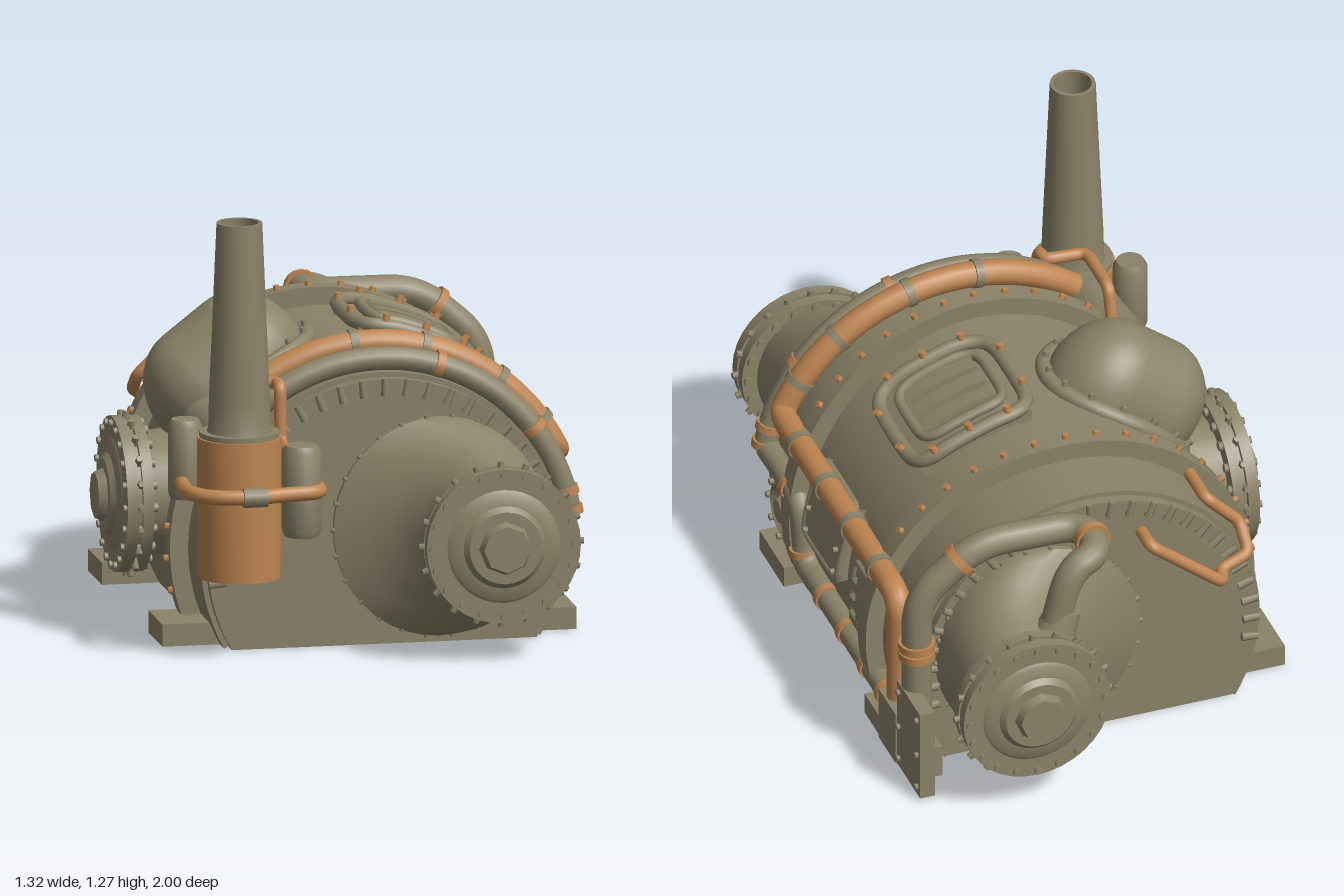
import * as THREE from 'three';
import { mergeGeometries, toCreasedNormals } from 'three/addons/utils/BufferGeometryUtils.js';

const CX = 0.06, CY = 0.26, R = 0.53; // barrel axis and radius
const V = (x, y, z) => new THREE.Vector3(x, y, z);
const on = (a, z, r) => V(CX + r * Math.sin(a), CY + r * Math.cos(a), z); // point around the barrel
const range = (n, f) => Array.from({ length: n }, (_, i) => f(i));

export function createModel() {
  const root = new THREE.Group();
  const olive = new THREE.MeshStandardMaterial({ color: 0x8a8268, side: THREE.DoubleSide });
  olive.name = 'olive metal';
  const copper = new THREE.MeshStandardMaterial({ color: 0xbd8450, side: THREE.DoubleSide });
  copper.name = 'copper';

  const add = (name, geo, mat = olive, parent = root) => {
    const m = new THREE.Mesh(geo, mat);
    m.name = name;
    parent.add(m);
    return m;
  };
  const box = (name, x0, x1, y0, y1, z0, z1) =>
    add(name, new THREE.BoxGeometry(x1 - x0, y1 - y0, z1 - z0).translate((x0 + x1) / 2, (y0 + y1) / 2, (z0 + z1) / 2));
  const lathe = (pts, seg = 36) =>
    toCreasedNormals(new THREE.LatheGeometry(pts.map(p => new THREE.Vector2(p[0], p[1])), seg), 0.6);
  // curved slab wrapped on the barrel; reaches the ground when no angles are given
  const band = (name, r0, r1, z0, z1, a0 = -Math.acos(-CY / r1), a1 = Math.acos(-CY / r1)) => {
    const pts = [[r0, z1], [r1, z1], [r1, z0], [r0, z0]].map(p => new THREE.Vector2(p[0], -p[1]));
    const g = new THREE.LatheGeometry(pts, Math.max(6, Math.ceil((a1 - a0) * 14)), a0, a1 - a0);
    return add(name, toCreasedNormals(g.rotateX(-Math.PI / 2), 0.6).translate(CX, CY, 0));
  };
  // small cylinders at [position, direction]
  const studs = (name, list, r, h, mat = olive, parent = root, sides = 6, taper = 0.8) =>
    add(name, mergeGeometries(list.map(([p, d]) => {
      const q = new THREE.Quaternion().setFromUnitVectors(V(0, 1, 0), d.clone().normalize());
      return new THREE.CylinderGeometry(r * taper, r, h, sides).applyQuaternion(q).translate(p.x, p.y, p.z);
    })), mat, parent);
  const clamps = (name, list, r, mat) => studs(name, list, r, 0.024, mat, root, 16, 1);
  const outward = p => [p, V(p.x - CX, p.y - CY, 0)];
  // pipe with rounded corners
  const pipe = (name, pts, r, mat, bend = 0.07) => {
    const path = new THREE.CurvePath();
    let last = pts[0];
    for (let i = 1; i < pts.length - 1; i++) {
      const p = pts[i];
      const toward = q => p.clone().lerp(q, Math.min(0.49, bend / p.distanceTo(q)));
      const a = toward(pts[i - 1]), b = toward(pts[i + 1]);
      path.add(new THREE.LineCurve3(last, a));
      path.add(new THREE.QuadraticBezierCurve3(a, p, b));
      last = b;
    }
    path.add(new THREE.LineCurve3(last, pts[pts.length - 1]));
    add(name, new THREE.TubeGeometry(path, 110, r, 14, false), mat);
  };
  // rounded frame draped over the barrel; a lower power gives squarer corners
  const frame = (name, a0, a1, z0, z1, r, t, power = 0.4) => {
    const sq = v => Math.sign(v) * Math.pow(Math.abs(v), power);
    const pts = range(40, i => {
      const u = (i + 0.5) / 40 * Math.PI * 2;
      return on((a0 + a1) / 2 + sq(Math.cos(u)) * (a1 - a0) / 2, (z0 + z1) / 2 + sq(Math.sin(u)) * (z1 - z0) / 2, r);
    });
    add(name, new THREE.TubeGeometry(new THREE.CatmullRomCurve3(pts, true), 90, t, 8, true));
  };

  // barrel hull with recessed end rings
  const RE = 0.515;
  band('hull', R - 0.015, R, -0.59, 0.59);
  for (const s of [-1, 1]) {
    band('endRing', 0.48, RE, s * 0.6 - 0.02, s * 0.6 + 0.02);
    studs('endBolts', range(27, i => outward(on(-1.7 + i * 0.131, s * 0.622, 0.492))), 0.013, 0.05);
    // raised riveted band, drifting inward on the right flank
    const drift = a => -s * 0.06 * Math.pow(Math.max(0, Math.sin(a)), 1.5);
    const strap = band('hullBand', R - 0.01, 0.583, s * 0.375 - 0.033, s * 0.375 + 0.033);
    const p = strap.geometry.attributes.position;
    for (let i = 0; i < p.count; i++) p.setZ(i, p.getZ(i) + drift(Math.atan2(p.getX(i) - CX, p.getY(i) - CY)));
    studs('bandRivets', range(20, i => -1.95 + i * 0.16).map(a => outward(on(a, s * 0.375 + drift(a), 0.587))), 0.012, 0.018, copper);
  }

  // round bolted flange with stepped cap, facing +z
  const flange = name => {
    const g = new THREE.Group();
    g.name = name;
    add('flangeDisc', lathe([[0.17, -0.01], [0.225, -0.01], [0.225, 0.022], [0.21, 0.022], [0.21, 0.034], [0.225, 0.034],
      [0.225, 0.068], [0.165, 0.068], [0.155, 0.075], [0.12, 0.08], [0.105, 0.095], [0, 0.095]]).rotateX(Math.PI / 2), olive, g);
    add('flangeKnob', new THREE.CylinderGeometry(0.068, 0.08, 0.03, 8).rotateX(Math.PI / 2).translate(0, 0, 0.105), olive, g);
    const ring = range(20, i => i / 20 * Math.PI * 2);
    studs('flangeBolts', ring.map(a => [V(Math.cos(a) * 0.207, Math.sin(a) * 0.207, 0.028), V(0, 0, 1)]), 0.014, 0.1, olive, g);
    studs('rimBolts', ring.map(a => [V(Math.cos(a) * 0.228, Math.sin(a) * 0.228, 0.028), V(Math.cos(a), Math.sin(a), 0)]), 0.012, 0.025, olive, g);
    return g;
  };

  // end plate, off-centre funnel and flange, repeated front and back
  const sections = [[0.61, 0.22, 0.31, 0.32], [0.63, 0.22, 0.31, 0.32], [0.66, 0.265, 0.262, 0.305], [0.7, 0.3, 0.226, 0.28],
    [0.75, 0.33, 0.192, 0.25], [0.82, 0.342, 0.18, 0.22], [0.9, 0.342, 0.178, 0.195]];
  for (const s of [1, -1]) {
    const end = new THREE.Group();
    end.name = s > 0 ? 'frontEnd' : 'backEnd';
    const half = Math.acos(-CY / RE);
    const plate = new THREE.Shape().absarc(CX, CY, RE, Math.PI / 2 - half, Math.PI / 2 + half, false);
    plate.holes.push(new THREE.Path().absellipse(0.22, 0.34, 0.3, 0.31, 0, Math.PI * 2, true));
    add('endPlate', new THREE.ShapeGeometry(plate, 40).translate(0, 0, 0.615), olive, end);
    const n = 40, pos = [], idx = [];
    sections.forEach(([z, x, rx, ry], j) => {
      for (let i = 0; i < n; i++) {
        const a = i / n * Math.PI * 2;
        pos.push(x + rx * Math.cos(a), 0.34 + ry * Math.sin(a), z);
        if (j) {
          const k = (i + 1) % n, o = (j - 1) * n, p = j * n;
          idx.push(o + i, o + k, p + k, o + i, p + k, p + i);
        }
      }
    });
    const g = new THREE.BufferGeometry();
    g.setAttribute('position', new THREE.Float32BufferAttribute(pos, 3));
    g.setIndex(idx);
    add('funnel', toCreasedNormals(g, 0.7), olive, end);
    studs('funnelRivets', range(26, i => i / 26 * Math.PI * 2).map(a =>
      [V(0.22 + 0.31 * Math.cos(a), 0.34 + 0.32 * Math.sin(a), 0.625), V(Math.cos(a), Math.sin(a), 0)]), 0.009, 0.014, olive, end);
    const f = flange('endFlange');
    f.position.set(0.342, 0.342, 0.88);
    end.add(f);
    end.scale.z = s;
    root.add(end);
  }

  // left side port
  const port = flange('sideFlange');
  port.rotation.y = -Math.PI / 2;
  port.position.set(-0.54, 0.338, 0);
  root.add(port);
  add('sideNeck', new THREE.CylinderGeometry(0.17, 0.19, 0.16, 32, 1, true).rotateZ(Math.PI / 2).translate(-0.47, 0.34, 0));

  // bulging dome on the upper left with a bolted collar
  const dome = add('dome', new THREE.CapsuleGeometry(0.17, 0.15, 12, 32).rotateZ(Math.PI / 2).scale(1, 1.2, 1));
  dome.rotation.z = 0.66;
  dome.position.set(-0.272, 0.675, 0);
  const collar = range(32, i => i / 32 * Math.PI * 2).map(u => on(-0.67 + 0.48 * Math.cos(u), 0.205 * Math.sin(u), R + 0.005));
  add('domeCollar', new THREE.TubeGeometry(new THREE.CatmullRomCurve3(collar, true), 80, 0.025, 10, true));
  studs('collarBolts', collar.filter((_, i) => i % 2 === 0).map(p => {
    const d = V(p.x - CX, p.y - CY, 0).normalize();
    return [p.clone().addScaledVector(d, 0.028), d];
  }), 0.011, 0.02);

  // louvred roof vent
  band('ventBase', R, 0.57, -0.19, 0.17, 0.03, 0.68);
  frame('ventOuterFrame', 0.02, 0.69, -0.2, 0.18, 0.58, 0.022);
  frame('ventInnerFrame', 0.12, 0.58, -0.14, 0.12, 0.59, 0.016);
  for (const z of [-0.085, -0.01, 0.065]) band('ventLouvre', 0.56, 0.6, z - 0.026, z + 0.026, 0.17, 0.53);
  const ventClips = [];
  for (const a of [0.16, 0.36, 0.56]) for (const z of [-0.2, 0.18]) ventClips.push(on(a, z, 0.606));
  for (const a of [0.02, 0.69]) for (const z of [-0.1, 0.08]) ventClips.push(on(a, z, 0.606));
  studs('ventClips', ventClips.map(outward), 0.013, 0.022, copper);

  // right side hatch, grille and porthole
  band('hatch', R, 0.565, -0.06, 0.21, 1.1, 1.55);
  frame('hatchRim', 1.1, 1.55, -0.06, 0.21, 0.56, 0.012, 0.2);
  studs('hatchBolts', [1.2, 1.38, 1.51].flatMap(a => [-0.035, 0.185].map(z => outward(on(a, z, 0.57)))), 0.01, 0.016);
  band('grilleBase', R, 0.545, -0.325, -0.135, 1.33, 1.71);
  frame('grilleRim', 1.33, 1.71, -0.325, -0.135, 0.545, 0.01, 0.15);
  for (const a of [1.43, 1.53, 1.63]) band('grilleSlat', R, 0.565, -0.3, -0.16, a - 0.025, a + 0.025);
  add('porthole', lathe([[0.1, 0], [0.1, 0.035], [0.075, 0.05], [0.06, 0.035], [0.045, 0.035], [0.035, 0.055], [0, 0.06]], 24)
    .rotateZ(-Math.PI / 2).translate(0.56, 0.18, 0.45));
  studs('portholeBolts', range(8, i => i * Math.PI / 4).map(a => [V(0.605, 0.18 + 0.088 * Math.cos(a), 0.45 + 0.088 * Math.sin(a)), V(1, 0, 0)]), 0.012, 0.025);

  // copper main over the roof and along the right side
  const roof = range(19, i => on(-0.65 + i * 1.77 / 18, 0.47, 0.592));
  pipe('copperMain', [...roof, V(0.6, 0.51, 0.43), V(0.6, 0.51, -0.51), V(0.6, 0.16, -0.51)], 0.038, copper);
  const along = a => V(Math.cos(a), -Math.sin(a), 0);
  clamps('copperMainClamps', [...[-0.1, 0.25, 0.66, 0.95].map(a => [on(a, 0.47, 0.592), along(a)]),
    ...[0.3, 0.08, -0.13, -0.35].map(z => [V(0.6, 0.51, z), V(0, 0, 1)])], 0.043, olive);
  // olive pipe beside it, stepping down the flank
  const second = range(22, i => on(-0.75 + i * 2.17 / 21, 0.55, 0.562));
  pipe('oliveMain', [...second, V(0.61, 0.34, 0.5), V(0.61, 0.34, 0.28), V(0.6, 0.12, 0.26), V(0.6, 0.12, -0.5)], 0.035, olive);
  clamps('oliveMainClamps', [...[0.31, 0.92, 1.3, 1.4].map(a => [on(a, 0.55, 0.562), along(a)]),
    [V(0.61, 0.34, 0.34), V(0, 0, 1)], [V(0.605, 0.16, 0.265), V(0, 1, 0.1)],
    ...[0.08, -0.1, -0.28, -0.42].map(z => [V(0.6, 0.12, z), V(0, 0, 1)])], 0.041, copper);

  // back pipe rising from the right and dropping into the rear neck
  pipe('backPipe', [V(0.6, 0.1, -0.65), V(0.6, 0.6, -0.65), V(0.42, 0.755, -0.66), V(0.1, 0.755, -0.67),
    V(0.1, 0.75, -0.81), V(0.2, 0.72, -0.83), V(0.26, 0.48, -0.83)], 0.044, olive, 0.09);
  clamps('backPipeClamps', [[V(0.6, 0.44, -0.65), V(0, 1, 0)], [V(0.6, 0.41, -0.65), V(0, 1, 0)], [V(0.47, 0.71, -0.658), V(1, -0.8, 0)],
    [V(0.1, 0.753, -0.75), V(0, 0, 1)]], 0.053, copper);
  add('backNozzle', new THREE.CylinderGeometry(0.045, 0.065, 0.1, 16).rotateZ(0.4).translate(0.23, 0.55, -0.83));
  box('pipeBox', 0.54, 0.645, 0, 0.17, -0.6, -0.46);
  box('pipeFoot', 0.54, 0.64, 0, 0.1, -0.7, -0.6);
  box('sidePlate', 0.6, 0.645, 0.01, 0.3, -0.8, -0.61);
  studs('plateBolts', [0.04, 0.15, 0.27].flatMap(y => [-0.78, -0.63].map(z => [V(0.648, y, z), V(1, 0, 0)])), 0.011, 0.014);

  // thin copper line on the back left
  pipe('backLine', [V(-0.1, 0.64, -0.61), V(-0.1, 0.64, -0.695), V(-0.32, 0.46, -0.695), V(-0.33, 0.47, -0.645),
    V(-0.42, 0.5, -0.635), V(-0.42, 0.56, -0.56), V(-0.32, 0.66, -0.55), V(-0.32, 0.66, -0.42)], 0.018, copper, 0.025);

  // chimney, copper can and side bottles
  const CZ = 0.7, CHX = -0.38;
  add('chimney', lathe([[0.1, 0.64], [0.09, 0.67], [0.088, 0.75], [0.066, 1.27], [0.055, 1.27], [0.07, 0.72]], 20).translate(CHX, 0, CZ));
  add('can', lathe([[0, 0.235], [0.118, 0.235], [0.122, 0.5], [0.122, 0.645], [0, 0.645]], 28).translate(CHX, 0, CZ), copper);
  add('canLid', lathe([[0.115, 0.64], [0.115, 0.66], [0, 0.66]], 28).translate(CHX, 0, CZ));
  add('canMount', new THREE.CylinderGeometry(0.07, 0.095, 0.3, 20).rotateX(Math.PI / 2).translate(-0.38, 0.59, 0.48));
  const bottle = (name, x, z, y0, y1, r) => add(name, lathe([[0, y0], [r * 0.85, y0], [r, y0 + 0.02],
    [r, y1 - 0.02], [r * 0.8, y1], [0, y1]], 20).translate(x, 0, z));
  bottle('frontBottle', -0.217, 0.79, 0.365, 0.63, 0.057);
  bottle('sideBottle', -0.518, 0.6, 0.45, 0.68, 0.05);
  pipe('canLoop', [V(-0.53, 0.5, 0.6), V(-0.55, 0.5, 0.76), V(-0.5, 0.5, 0.85), V(-0.38, 0.5, 0.88),
    V(-0.27, 0.5, 0.85), V(-0.17, 0.5, 0.84), V(-0.165, 0.5, 0.76)], 0.022, copper);
  add('loopCoupling', new THREE.CylinderGeometry(0.028, 0.028, 0.07, 14).rotateZ(Math.PI / 2).translate(-0.37, 0.5, 0.875));
  pipe('feedLine', [V(-0.37, 0.66, 0.35), V(-0.37, 0.77, 0.38), V(-0.37, 0.77, 0.56), V(-0.245, 0.77, 0.57),
    V(-0.245, 0.77, 0.62), V(-0.245, 0.6, 0.63), V(-0.24, 0.6, 0.72), V(-0.225, 0.58, 0.79)], 0.018, copper, 0.03);

  // cross beams whose ends form the feet, with a rail stepped inside each
  for (const s of [-1, 1]) {
    box('beam', -0.57, 0.64, 0, 0.065, s * 0.43 - 0.1, s * 0.43 + 0.1);
    box('innerRail', -0.4, 0.52, 0.02, 0.065, s * 0.29 - 0.04, s * 0.29 + 0.04);
  }
  return root;
}
